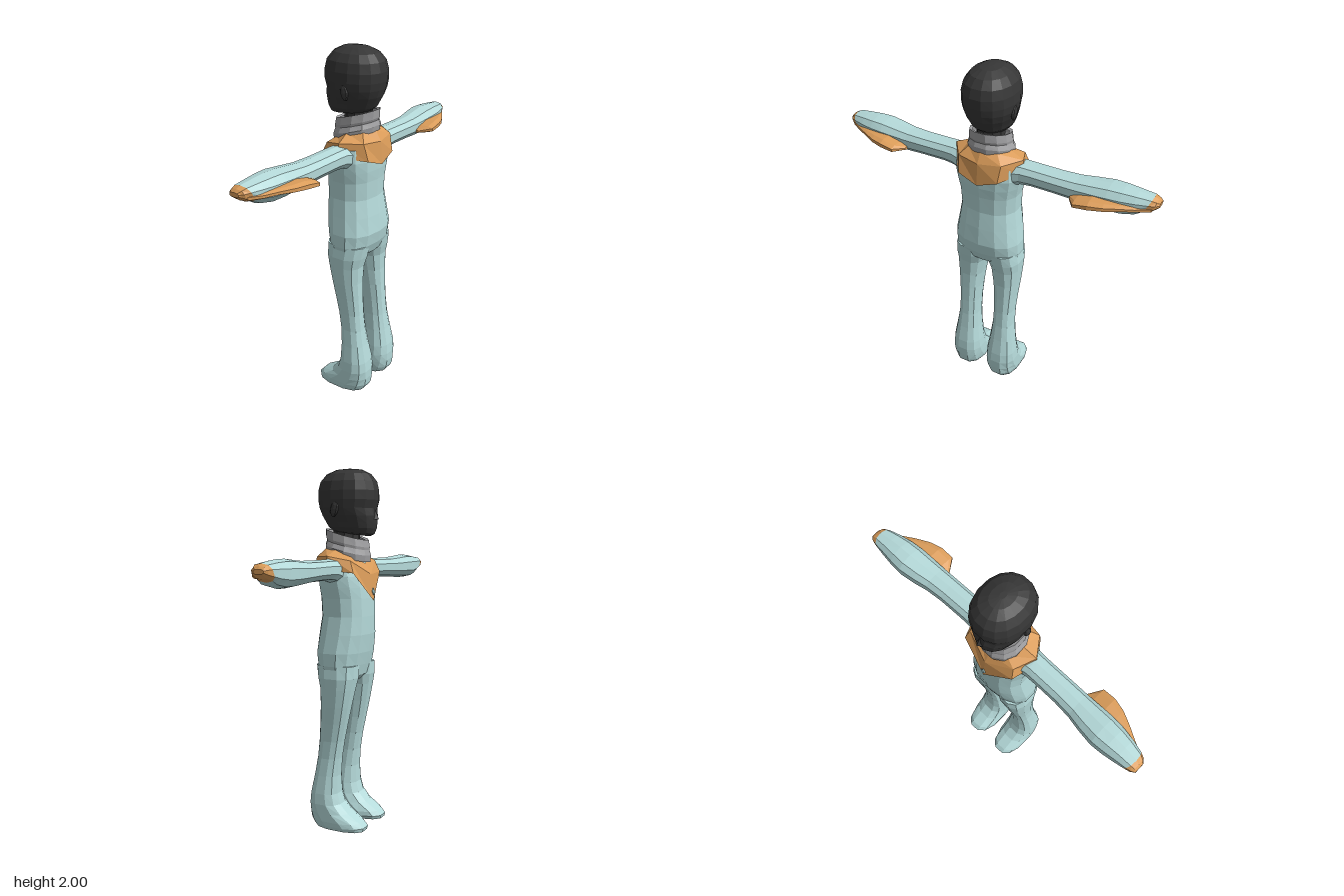
import * as THREE from 'three';

const mat = (name, color, extra = {}) =>
  Object.assign(new THREE.MeshStandardMaterial({ color, flatShading: true, ...extra }), { name });

// Joins rings of points into a faceted surface; capped solids are turned to face outward.
function loft(rings, capped = true) {
  const n = rings[0].length, tris = [];
  for (let r = 0; r < rings.length - 1; r++) {
    for (let i = 0; i < n; i++) {
      const j = (i + 1) % n, a = rings[r][i], b = rings[r][j], c = rings[r + 1][j], d = rings[r + 1][i];
      tris.push([a, b, c], [a, c, d]);
    }
  }
  if (capped) {
    for (const [ring, flip] of [[rings[0], true], [rings[rings.length - 1], false]]) {
      const mid = ring.reduce((s, p) => s.add(p), new THREE.Vector3()).divideScalar(n);
      for (let i = 0; i < n; i++) {
        const a = ring[i], b = ring[(i + 1) % n];
        tris.push(flip ? [mid, b, a] : [mid, a, b]);
      }
    }
    const volume = tris.reduce((s, [a, b, c]) => s + a.dot(b.clone().cross(c)), 0);
    if (volume < 0) tris.forEach((t) => t.reverse());
  }
  const g = new THREE.BufferGeometry().setFromPoints(tris.flat());
  g.computeVertexNormals();
  return g;
}

// Rounded cross-section: pow below 1 makes it squarer.
function section(n, pow, place) {
  return Array.from({ length: n }, (_, i) => {
    const t = ((i + 0.5) / n) * Math.PI * 2, c = Math.cos(t), s = Math.sin(t);
    return place(Math.sign(c) * Math.abs(c) ** pow, Math.sign(s) * Math.abs(s) ** pow);
  });
}

const mix = (a, b, t) => a + (b - a) * (t + 1) / 2;

// Upright ring: x range, z range (front is -z), height at the front and back.
const level = (n, pow, x0, x1, zf, zb, yf, yb = yf) =>
  section(n, pow, (c, s) => new THREE.Vector3(mix(x0, x1, c), mix(yf, yb, s), mix(zf, zb, s)));

// Sideways ring on the arm: y range and z range; slant pulls the underside inward.
const across = (n, side, x, y0, y1, z0, z1, slant = 0) =>
  section(n, 0.85, (c, s) => new THREE.Vector3(side * (x + slant * s), mix(y0, y1, s), mix(z0, z1, c)));

export function createModel() {
  const group = new THREE.Group();
  const suit = mat('pale suit blue', 0xb5dada);
  const orange = mat('scarf orange', 0xdc9d5a);
  const scarfCloth = orange;
  scarfCloth.side = THREE.DoubleSide;
  const grey = mat('collar grey', 0xa0a0a2, { side: THREE.DoubleSide });
  const dark = mat('head charcoal', 0x363636);
  const add = (name, geometry, material) => {
    const m = new THREE.Mesh(geometry, material);
    m.name = name;
    group.add(m);
    return m;
  };

  // Torso: height, half width, front z, back z
  add('torso', loft([
    [0.84, 0.10, -0.06, 0.09], [0.87, 0.185, -0.09, 0.125], [0.93, 0.198, -0.105, 0.15],
    [1.0, 0.198, -0.12, 0.163], [1.1, 0.182, -0.132, 0.152], [1.2, 0.167, -0.133, 0.138],
    [1.3, 0.172, -0.13, 0.142], [1.36, 0.185, -0.125, 0.148], [1.42, 0.196, -0.115, 0.15],
    [1.49, 0.19, -0.095, 0.14], [1.53, 0.15, -0.06, 0.12], [1.56, 0.09, -0.04, 0.1],
  ].map(([y, w, f, b]) => level(14, 0.85, -w, w, f, b, y))), suit);

  for (const side of [1, -1]) {
    const label = side > 0 ? 'left' : 'right';

    // Leg and boot: height, inner x, outer x, front z, back z
    add(label + 'Leg', loft([
      [0, 0.035, 0.2, -0.163, 0.14], [0.02, 0.024, 0.207, -0.168, 0.158], [0.045, 0.02, 0.21, -0.145, 0.17],
      [0.09, 0.02, 0.21, -0.07, 0.175], [0.14, 0.022, 0.21, -0.022, 0.175], [0.2, 0.028, 0.205, -0.004, 0.168],
      [0.3, 0.042, 0.19, 0, 0.147], [0.4, 0.052, 0.178, -0.008, 0.13], [0.5, 0.054, 0.175, -0.024, 0.12],
      [0.6, 0.05, 0.18, -0.045, 0.114], [0.7, 0.04, 0.188, -0.066, 0.11], [0.8, 0.024, 0.195, -0.086, 0.113],
      [0.86, 0.004, 0.199, -0.098, 0.128], [0.93, 0.002, 0.19, -0.1, 0.14],
    ].map(([y, a, b, f, z]) => level(12, 0.8, side * a, side * b, f, z, y))), suit);

    // Sleeve, flaring towards the hand
    const cuff = across(10, side, 0.865, 1.42, 1.51, -0.072, 0.045, 0.022);
    add(label + 'Sleeve', loft([
      [0.14, 1.37, 1.51, -0.06, 0.1], [0.2, 1.395, 1.515, -0.05, 0.09], [0.26, 1.402, 1.513, -0.05, 0.088],
      [0.4, 1.4, 1.511, -0.052, 0.087], [0.5, 1.394, 1.512, -0.06, 0.086], [0.58, 1.39, 1.518, -0.077, 0.086],
      [0.67, 1.385, 1.526, -0.09, 0.085], [0.74, 1.385, 1.526, -0.086, 0.078], [0.81, 1.4, 1.52, -0.078, 0.064],
    ].map((r) => across(10, side, ...r)).concat([cuff])), suit);

    // Fingertips
    add(label + 'Hand', loft([cuff,
      across(10, side, 0.9, 1.438, 1.498, -0.065, 0.03, 0.008),
      across(10, side, 0.92, 1.46, 1.484, -0.052, 0.008)]), orange);

    // Thin trailing fin along the forearm
    add(label + 'Fin', loft([
      [0.49, 1.424, 1.442, 0.065, 0.1], [0.535, 1.425, 1.462, 0.055, 0.17], [0.61, 1.43, 1.478, 0.05, 0.168],
      [0.68, 1.435, 1.476, 0.04, 0.148], [0.75, 1.44, 1.472, 0.03, 0.112], [0.82, 1.436, 1.466, 0.01, 0.072],
      [0.89, 1.438, 1.47, -0.02, 0.034],
    ].map((r) => across(8, side, ...r))), orange);

    // Ear
    const ear = add(label + 'Ear', new THREE.SphereGeometry(1, 8, 6), dark);
    ear.scale.set(0.012, 0.042, 0.024);
    ear.position.set(side * 0.136, 1.78, 0.02);
    ear.rotation.x = -0.2;
  }

  // Pointed scarf: half outline of each ring from back centre to front centre
  const scarfRing = (half) => half.concat(half.slice(1, -1).reverse().map(([x, y, z]) => [-x, y, z]))
    .map((p) => new THREE.Vector3(...p));
  add('scarf', loft([
    [[0, 1.57, 0.125], [0.085, 1.57, 0.1], [0.115, 1.565, 0.02], [0.085, 1.53, -0.06], [0, 1.49, -0.1]],
    [[0, 1.515, 0.158], [0.125, 1.525, 0.135], [0.2, 1.53, 0.03], [0.15, 1.505, -0.085], [0, 1.43, -0.135]],
    [[0, 1.39, 0.168], [0.115, 1.43, 0.158], [0.207, 1.455, 0.035], [0.165, 1.44, -0.11], [0, 1.285, -0.152]],
  ].map(scarfRing), false), scarfCloth);

  // Small diamond on the scarf front
  const diamond = add('scarfDiamond', new THREE.CylinderGeometry(0.02, 0.02, 0.006, 4), suit);
  diamond.rotation.x = -Math.PI / 2 + 0.12;
  diamond.scale.x = 0.7;
  diamond.position.set(0, 1.335, -0.151);

  // Folded collar: half width, front z, back z, front y, back y
  add('collar', loft([
    [0.122, -0.118, 0.13, 1.495, 1.565], [0.126, -0.122, 0.134, 1.53, 1.595], [0.112, -0.114, 0.126, 1.56, 1.62],
    [0.114, -0.116, 0.132, 1.575, 1.635], [0.107, -0.11, 0.135, 1.615, 1.682], [0.092, -0.092, 0.118, 1.61, 1.675],
  ].map(([w, f, b, yf, yb]) => level(12, 0.95, -w, w, f, b, yf, yb)), false), grey);

  add('neck', loft([1.5, 1.7].map((y) => level(10, 1, -0.075, 0.075, -0.06, 0.09, y))), dark);

  // Head: half width, front z, back z, front y, back y
  add('head', loft([
    [0.05, -0.125, 0.02, 1.637, 1.655], [0.082, -0.148, 0.085, 1.648, 1.665], [0.102, -0.16, 0.118, 1.678, 1.69],
    [0.112, -0.163, 0.135, 1.705, 1.72], [0.126, -0.165, 0.152, 1.745, 1.75], [0.138, -0.158, 0.166, 1.785, 1.79],
    [0.144, -0.17, 0.174, 1.83, 1.83], [0.142, -0.17, 0.175, 1.88, 1.88], [0.13, -0.158, 0.162, 1.93, 1.93],
    [0.1, -0.125, 0.128, 1.97, 1.97], [0.055, -0.075, 0.075, 1.994, 1.994], [0.015, -0.02, 0.02, 2, 2],
  ].map(([w, f, b, yf, yb]) => level(16, 0.92, -w, w, f, b, yf, yb))), dark);

  // Nose
  const nose = add('nose', new THREE.ConeGeometry(0.02, 0.06, 4), dark);
  nose.position.set(0, 1.755, -0.158);
  nose.rotation.x = 0.12;
  return group;
}
